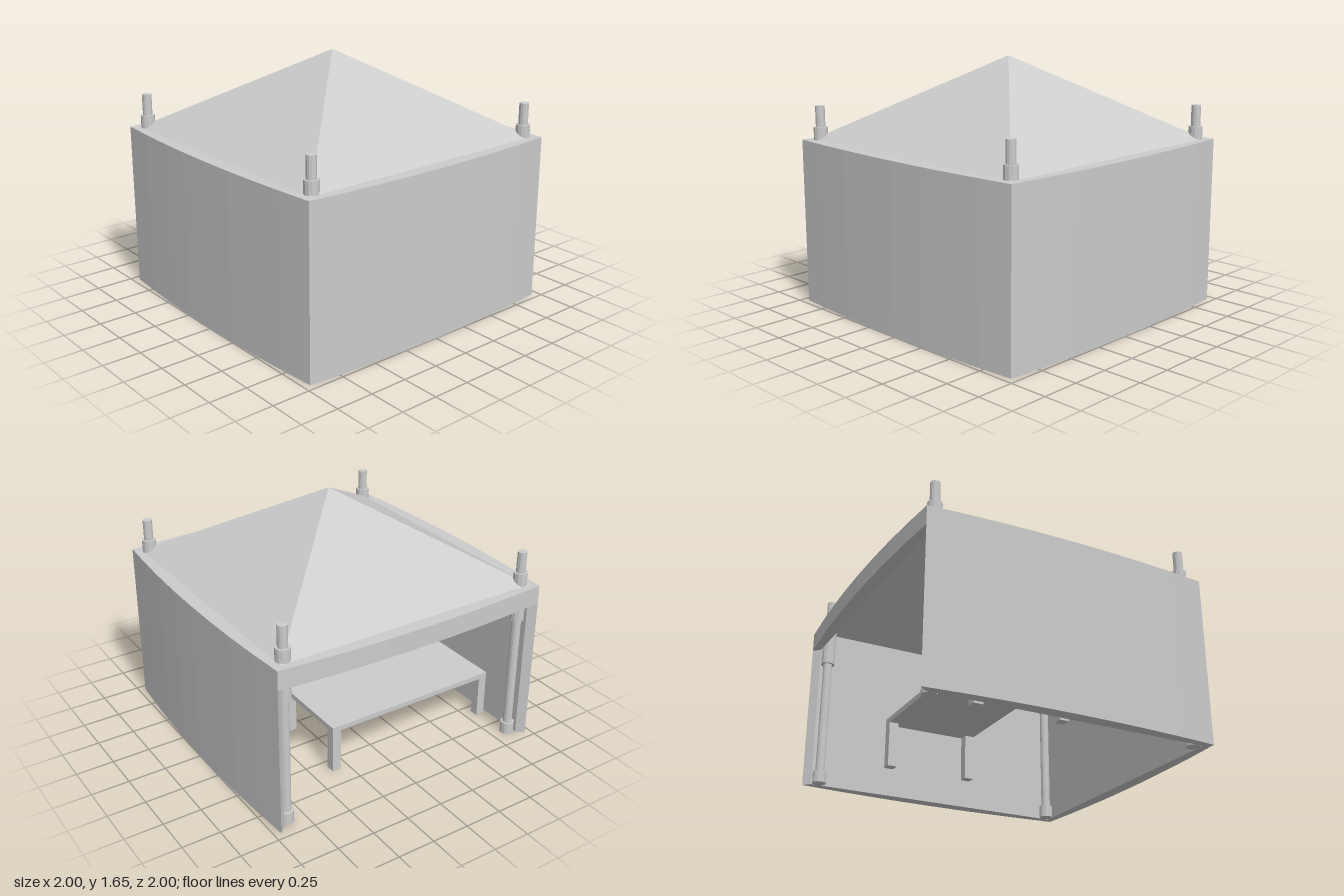
import * as THREE from 'three';

const material = new THREE.MeshStandardMaterial({ color: 0xcccccc, flatShading: true });
const thinMaterial = new THREE.MeshStandardMaterial({ color: 0xcccccc, flatShading: true, side: THREE.DoubleSide });

const EAVES = 1.105;   // top of the walls
const INNER = 0.91;    // flat inner face of the walls
const CORNER = 0.955;  // outer corner
const BULGE = 0.045;   // outward bow at mid-wall

function addMesh(parent, name, geometry, x = 0, y = 0, z = 0, mat = material) {
  const mesh = new THREE.Mesh(geometry, mat);
  mesh.name = name;
  mesh.position.set(x, y, z);
  parent.add(mesh);
  return mesh;
}

// Mitred panel with a flat inside and a bowed outside, hanging down from the eaves
function panelGeometry(drop) {
  const shape = new THREE.Shape();
  shape.moveTo(-INNER, INNER);
  shape.lineTo(INNER, INNER);
  const segments = 8;
  for (let i = 0; i <= segments; i++) {
    const t = 1 - (2 * i) / segments;
    shape.lineTo(CORNER * t, CORNER + BULGE * (1 - t * t));
  }
  shape.closePath();
  const geometry = new THREE.ExtrudeGeometry(shape, { depth: drop, bevelEnabled: false });
  geometry.rotateX(Math.PI / 2);
  return geometry.translate(0, EAVES, 0);
}

// Pole with a foot collar and a collar where it passes through the roof
function createPole() {
  const pole = new THREE.Group();
  pole.name = 'cornerPole';
  const part = (name, radius, bottom, top) =>
    addMesh(pole, name, new THREE.CylinderGeometry(radius, radius, top - bottom, 12), 0, (bottom + top) / 2, 0);
  part('poleShaft', 0.031, 0, 1.33);
  part('footCollar', 0.046, 0, 0.08);
  part('roofCollar', 0.046, 0.855, 1.19);
  return pole;
}

function createTable() {
  const table = new THREE.Group();
  table.name = 'table';
  const width = 0.6, length = 1.25, height = 0.325, thick = 0.035, leg = 0.06;
  addMesh(table, 'tableTop', new THREE.BoxGeometry(width, thick, length), 0, height - thick / 2, 0);
  const legHeight = height - thick;
  for (const sx of [-1, 1]) for (const sz of [-1, 1]) {
    addMesh(table, 'tableLeg', new THREE.BoxGeometry(leg, legHeight, leg),
      sx * (width - leg) / 2, legHeight / 2, sz * (length - leg) / 2);
  }
  return table;
}

export function createModel() {
  const model = new THREE.Group();
  model.name = 'marketTent';

  // Three full walls and a short valance over the open side
  const panels = [['frontWall', EAVES], ['leftWall', EAVES], ['backWall', EAVES], ['openSideValance', 0.125]];
  panels.forEach(([name, drop], i) => {
    addMesh(model, name, panelGeometry(drop)).rotation.y = i * Math.PI / 2;
  });

  // Hollow pyramid roof
  const roofHeight = 0.55;
  const roof = new THREE.ConeGeometry(INNER * Math.SQRT2, roofHeight, 4, 1, true);
  roof.rotateY(Math.PI / 4);
  addMesh(model, 'roof', roof, 0, EAVES + roofHeight / 2, 0, thinMaterial);

  // Corner poles
  for (const sx of [-1, 1]) for (const sz of [-1, 1]) {
    const pole = createPole();
    pole.position.set(sx * 0.868, 0, sz * 0.868);
    model.add(pole);
  }

  // Table near the open side
  const table = createTable();
  table.position.set(-0.312, 0, 0.257);
  model.add(table);

  return model;
}
